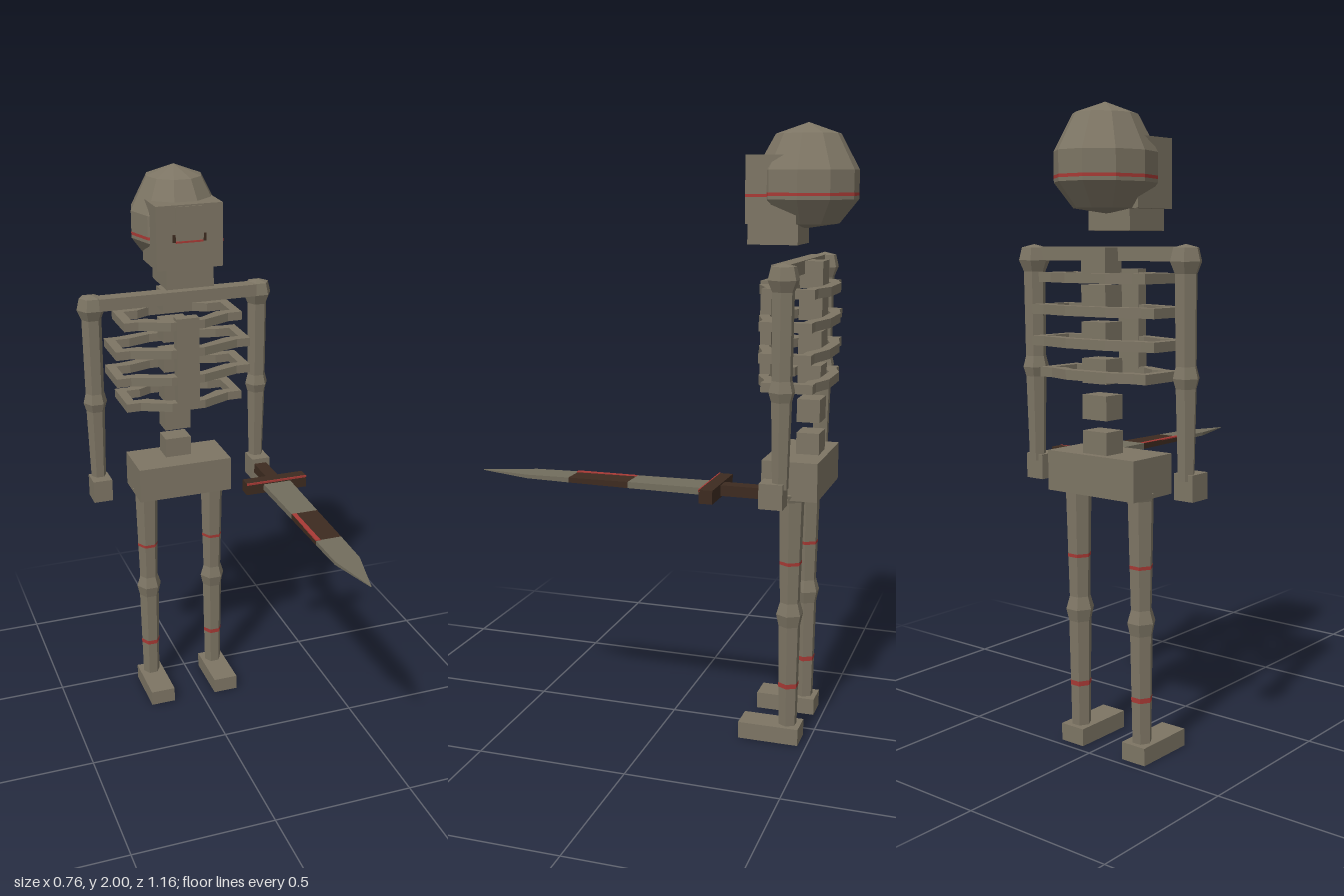
import * as THREE from 'three';

const flat = (name, color) => {
  const m = new THREE.MeshStandardMaterial({ color, flatShading: true });
  m.name = name;
  return m;
};

export function createModel() {
  const bone = flat('bone', 0x7d7564);
  const steel = flat('blade grey', 0x726d5d);
  const wood = flat('dark brown', 0x3d2b20);
  const red = flat('red', 0xa83a35);
  const MID = -0.03; // centre line of the body

  const model = new THREE.Group();
  model.name = 'skeleton';

  const add = (name, geometry, material, parent = model) => {
    const mesh = new THREE.Mesh(geometry, material);
    mesh.name = name;
    parent.add(mesh);
    return mesh;
  };
  const group = (name) => {
    const g = new THREE.Group();
    g.name = name;
    model.add(g);
    return g;
  };
  // Box given by its limits on each axis
  const box = (name, [x0, x1], [y0, y1], [z0, z1], material = bone, parent = model) => {
    const m = add(name, new THREE.BoxGeometry(x1 - x0, y1 - y0, z1 - z0), material, parent);
    m.position.set((x0 + x1) / 2, (y0 + y1) / 2, (z0 + z1) / 2);
    return m;
  };
  // Faceted turned part; profile is [radius, y] from bottom to top
  const turned = (name, profile, sides, x, z, parent = model, material = bone) => {
    const pts = profile.map(([r, y]) => new THREE.Vector2(r, y));
    const m = add(name, new THREE.LatheGeometry(pts, sides, Math.PI / 2), material, parent);
    m.position.set(x, 0, z);
    return m;
  };

  // Head
  const head = group('head');
  turned('skull', [[0, 1.675], [0.095, 1.69], [0.15, 1.765], [0.15, 1.855], [0.094, 1.965], [0, 2]],
    10, MID, -0.43, head).scale.z = 1.09;
  turned('skullBand', [[0.1505, 1.776], [0.1505, 1.786]], 10, MID, -0.43, head, red).scale.z = 1.09;
  box('face', [-0.145, 0.082], [1.69, 1.9], [-0.42, -0.258], bone, head);
  box('jaw', [-0.113, 0.05], [1.625, 1.69], [-0.42, -0.258], bone, head);
  box('nosePlate', [-0.08, 0.015], [1.79, 1.895], [-0.258, -0.254], bone, head);
  box('mouthLine', [-0.08, 0.015], [1.777, 1.783], [-0.258, -0.255], red, head);
  for (const x of [-0.085, 0.02]) {
    box('mouthCorner', [x - 0.005, x + 0.005], [1.78, 1.805], [-0.258, -0.255], wood, head);
  }
  box('faceSideLine', [0.082, 0.084], [1.772, 1.782], [-0.34, -0.258], red, head);

  // Spine, breastbone and shoulder bar
  const torso = group('torso');
  for (let i = 0; i < 6; i++) {
    const y = 0.95 + i * 0.11;
    box('vertebra', [-0.08, 0.015], [y, y + 0.075], [-0.495, -0.42], bone, torso);
  }
  box('breastbone', [-0.07, 0.01], [1.19, 1.51], [-0.33, -0.293], bone, torso);
  box('shoulderBar', [-0.31, 0.25], [1.535, 1.577], [-0.437, -0.385], bone, torso);

  // Ribs: flat closed hoops
  const hoop = (w, t) => {
    const half = [[0.06, -0.295 - t], [w - t - 0.05, -0.34 - t], [w - t, -0.34 - t],
      [w - t, -0.505 + t], [w - t - 0.05, -0.505 + t], [0.08, -0.53 + t]];
    const other = half.map(([x, z]) => [-x, z]).reverse();
    // shape y is -z, so that the extrusion points up once laid flat
    return [...half, ...other].map(([x, z]) => new THREE.Vector2(x, -z));
  };
  [[1.18, 0.21], [1.275, 0.242], [1.372, 0.242], [1.47, 0.21]].forEach(([y, w]) => {
    const shape = new THREE.Shape(hoop(w, 0));
    shape.holes.push(new THREE.Path(hoop(w, 0.033)));
    const geo = new THREE.ExtrudeGeometry(shape, { depth: 0.03, bevelEnabled: false });
    geo.rotateX(-Math.PI / 2);
    add('rib', geo, bone, torso).position.set(MID, y, 0);
  });

  // Pelvis
  box('pelvis', [-0.203, 0.14], [0.83, 0.955], [-0.518, -0.337]);

  // Arms and legs
  for (const s of [-1, 1]) {
    const side = s > 0 ? 'left' : 'right';
    const ax = MID + s * 0.3;
    const arm = group(side + 'Arm');
    turned('armBone', [[0, 0.9], [0.026, 0.9], [0.033, 1.17], [0.042, 1.2], [0.033, 1.235],
      [0.035, 1.5], [0.05, 1.535], [0.04, 1.575], [0, 1.585]], 6, ax, -0.43, arm);
    box('hand', [ax - 0.034, ax + 0.034], [0.84, 0.92], [-0.445, -0.37], bone, arm);

    const lx = MID + s * 0.126;
    const leg = group(side + 'Leg');
    turned('legBone', [[0, 0.04], [0.031, 0.04], [0.037, 0.4], [0.046, 0.44], [0.034, 0.48],
      [0.042, 0.82], [0.05, 0.845], [0, 0.88]], 6, lx, -0.428, leg);
    turned('upperLegBand', [[0.0378, 0.609], [0.0384, 0.62]], 6, lx, -0.428, leg, red);
    turned('lowerLegBand', [[0.0344, 0.188], [0.035, 0.204]], 6, lx, -0.428, leg, red);
    box('foot', [lx - 0.045, lx + 0.045], [0, 0.056], [-0.472, -0.27], bone, leg);
  }

  // Sword
  const sword = group('sword');
  box('swordGrip', [0.244, 0.29], [0.868, 0.902], [-0.4, -0.245], wood, sword);
  box('swordGuard', [0.153, 0.381], [0.863, 0.906], [-0.247, -0.203], wood, sword);
  box('guardLine', [0.153, 0.381], [0.9, 0.907], [-0.206, -0.202], red, sword);
  // Blade sections: z, half width, half thickness
  const sections = [[-0.203, 0.051, 0.011], [0.05, 0.047, 0.01], [0.253, 0.045, 0.008],
    [0.4, 0.043, 0.006], [0.575, 0.001, 0.001]];
  for (let i = 0; i < 4; i++) {
    const geo = new THREE.BoxGeometry(2, 2, 2);
    const p = geo.attributes.position;
    for (let k = 0; k < p.count; k++) {
      const [z, w, t] = sections[p.getZ(k) > 0 ? i + 1 : i];
      p.setXYZ(k, 0.268 + p.getX(k) * w, 0.885 + p.getY(k) * t, z);
    }
    geo.computeVertexNormals();
    add(i === 1 ? 'bladeBand' : 'blade', geo, i === 1 ? wood : steel, sword);
  }
  box('bladeRedEdge', [0.222, 0.238], [0.892, 0.896], [0.05, 0.255], red, sword);

  return model;
}
